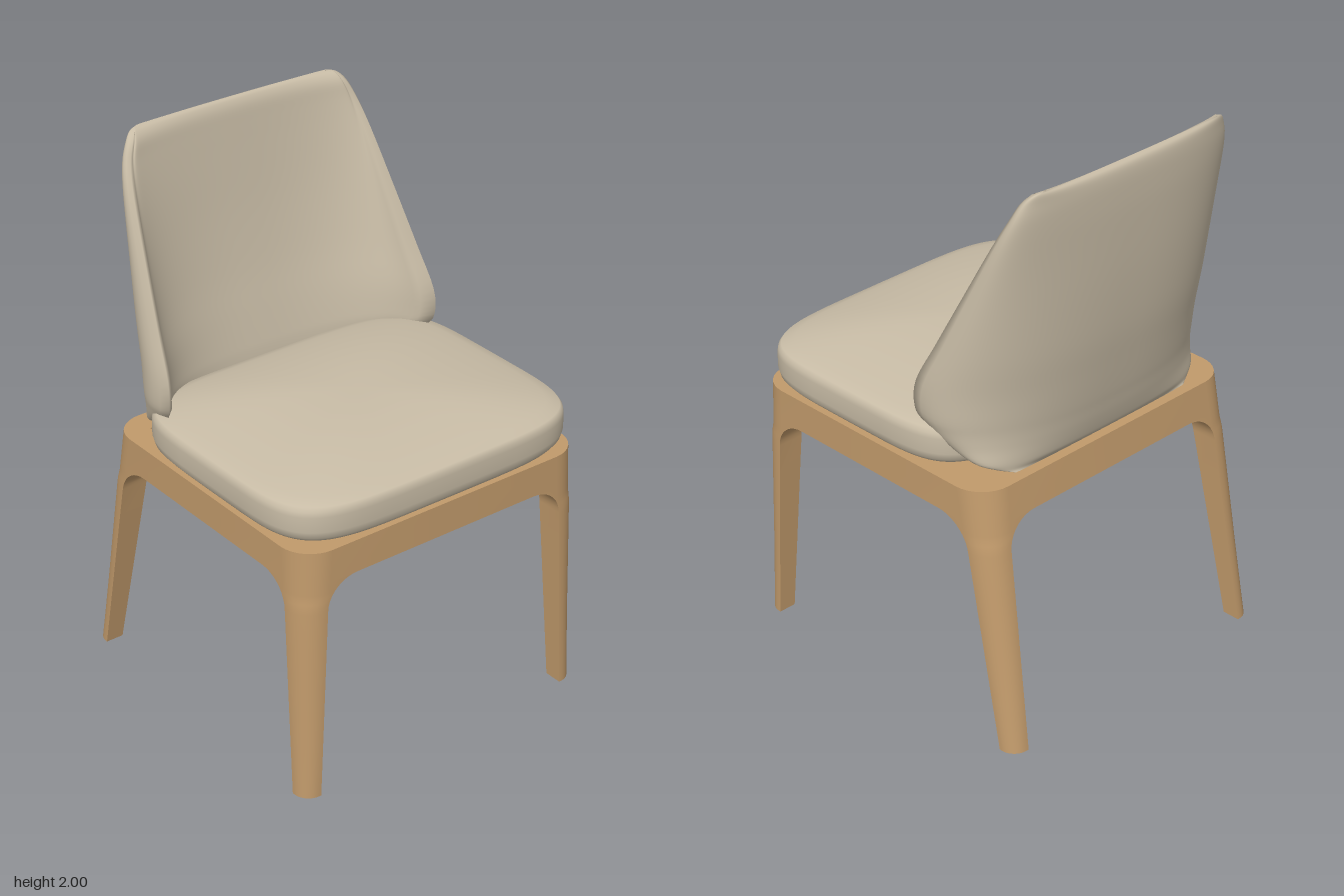
import * as THREE from 'three';
import { toCreasedNormals } from 'three/addons/utils/BufferGeometryUtils.js';

// Joins closed rings of [x, y, z] points, listed from bottom to top.
// capIndex, if given, closes both ends with a fan from that point.
function loft(rings, capIndex = -1) {
  const n = rings[0].length, index = [];
  for (let r = 0; r < rings.length - 1; r++) {
    for (let i = 0; i < n; i++) {
      const a = r * n + i, b = r * n + (i + 1) % n;
      index.push(a, b, b + n, a, b + n, a + n);
    }
  }
  if (capIndex >= 0) {
    const top = (rings.length - 1) * n;
    for (let k = 1; k < n - 1; k++) {
      const p = (capIndex + k) % n, q = (capIndex + k + 1) % n;
      index.push(capIndex, q, p, top + capIndex, top + p, top + q);
    }
  }
  const geo = new THREE.BufferGeometry();
  geo.setAttribute('position', new THREE.Float32BufferAttribute(rings.flat(2), 3));
  geo.setIndex(index);
  geo.computeVertexNormals();
  return geo;
}

const signedPow = (v, p) => Math.sign(v) * Math.pow(Math.abs(v), p);

// One corner of the frame: a tapered leg that curves into two half rails
function frameCorner(sx, sz) {
  const midZ = 0.065, rings = [];
  const addRing = (y, grow, rail) => {
    const k = y / 0.95;
    const X = 0.605 - 0.005 * k;
    const Z = sz > 0 ? 0.63 - 0.01 * k : -0.64 + 0.155 * k;
    const t = 0.068 + 0.032 * Math.min(1, y / 0.72);
    const a = rail ? X : t + grow + 0.0005;
    const b = rail ? Math.abs(Z - midZ) : a;
    const r = Math.min(0.06 + 0.06 * k, (t + grow) * 0.96);
    const uv = [[a, 0]];
    for (let i = 0; i <= 8; i++) {
      const q = (i / 8) * Math.PI / 2;
      uv.push([r - r * Math.sin(q), r - r * Math.cos(q)]);
    }
    uv.push([0, b], [t, b], [t, t], [a, t]);
    const ring = uv.map(([u, v]) => [sx * (X - u), y, Z - sz * v]);
    rings.push(sx * sz > 0 ? ring : ring.reverse());
  };
  for (let i = 0; i < 5; i++) addRing(0.72 * i / 5, 0, false);
  for (let i = 0; i <= 9; i++) {
    const q = (i / 9) * Math.PI / 2;
    addRing(0.72 + 0.11 * Math.sin(q), 0.12 * (1 - Math.cos(q)), false);
  }
  addRing(0.83, 0.12, true);
  addRing(0.95, 0.12, true);
  // the inner corner of the L section sees every other point
  return toCreasedNormals(loft(rings, sx * sz > 0 ? 12 : 1), 0.6);
}

// Domed cushion with a rounded-square outline
function seatGeometry() {
  const profile = [[0, 0.96], [0.5, 0.96], [0.85, 0.961], [0.93, 0.965], [0.97, 0.975],
    [0.99, 0.99], [1, 1.015], [1, 1.07], [0.995, 1.088], [0.98, 1.102]];
  for (let i = 1; i <= 14; i++) {
    const s = 0.98 * (1 - i / 14);
    profile.push([s, 1.104 + 0.066 * (1 - Math.pow(s / 0.98, 2.2))]);
  }
  return loft(profile.map(([s, y]) => Array.from({ length: 96 }, (_, i) => {
    const q = (i / 96) * Math.PI * 2;
    return [0.62 * s * signedPow(Math.sin(q), 0.4), y, 0.14 + 0.504 * s * signedPow(Math.cos(q), 0.4)];
  })));
}

// Wrap-around backrest: U-shaped padded sections stacked by height
function backrestGeometry() {
  // height, half width, rear z, wing tip z, padding thickness
  const rows = [
    [0.955, 0.42, -0.455, -0.445, 0], [0.975, 0.48, -0.475, -0.39, 0.06],
    [1.0, 0.53, -0.485, -0.33, 0.09], [1.05, 0.565, -0.498, -0.24, 0.11],
    [1.1, 0.587, -0.508, -0.18, 0.115], [1.15, 0.6, -0.518, -0.15, 0.115],
    [1.25, 0.598, -0.535, -0.155, 0.11], [1.4, 0.58, -0.558, -0.23, 0.1],
    [1.6, 0.553, -0.577, -0.33, 0.085], [1.8, 0.524, -0.588, -0.43, 0.07],
    [1.9, 0.5, -0.59, -0.48, 0.06], [1.96, 0.473, -0.588, -0.505, 0.05],
    [1.99, 0.445, -0.58, -0.53, 0.03], [2.0, 0.41, -0.562, -0.55, 0]];
  const spline = (f) => new THREE.CatmullRomCurve3(rows.map(f), false, 'catmullrom', 0.5);
  const shape = spline(([y, w, rear]) => new THREE.Vector3(w, y, rear));
  const pad = spline(([, , , tip, t]) => new THREE.Vector3(tip, t, 0));
  const steps = (rows.length - 1) * 4, N = 48, n = 2.5, rings = [];
  for (let j = 0; j <= steps; j++) {
    const { x: W, y, z: rear } = shape.getPoint(j / steps);
    const { x: tip, y: T } = pad.getPoint(j / steps);
    const D = Math.max(0.005, tip - rear), outer = [], inner = [];
    for (let i = 0; i <= N; i++) {
      const u = 1 - 2 * i / N, q = u * Math.PI / 2;
      const ex = signedPow(Math.sin(q), 2 / n), ez = Math.pow(Math.max(0, Math.cos(q)), 2 / n);
      const x = W * ex - Math.sign(u) * 0.025 * Math.pow(Math.abs(u), 12), z = tip - D * ez;
      const normal = new THREE.Vector2(-signedPow(ex, n - 1) / W, Math.pow(ez, n - 1) / D).normalize();
      const t = Math.max(0, T) * Math.sqrt(Math.max(0, 1 - Math.pow(Math.abs(u), 4)));
      outer.push([x, y, z]);
      if (i > 0 && i < N) inner.unshift([x + normal.x * t, y, z + normal.y * t]);
    }
    rings.push([...outer, ...inner]);
  }
  return loft(rings);
}

export function createModel() {
  const fabric = new THREE.MeshStandardMaterial({ color: 0xc8bca6 });
  fabric.name = 'beige fabric';
  const wood = new THREE.MeshStandardMaterial({ color: 0xc19a6b });
  wood.name = 'light wood';

  const model = new THREE.Group();
  model.name = 'diningChair';
  const add = (name, geometry, material, parent = model) => {
    const mesh = new THREE.Mesh(geometry, material);
    mesh.name = name;
    parent.add(mesh);
    return mesh;
  };

  // Wooden frame with legs
  const frame = new THREE.Group();
  frame.name = 'frame';
  model.add(frame);
  for (const sz of [1, -1]) {
    for (const sx of [1, -1]) {
      add((sz > 0 ? 'front' : 'back') + (sx > 0 ? 'Left' : 'Right') + 'LegAndRail', frameCorner(sx, sz), wood, frame);
    }
  }
  add('seatPanel', new THREE.BoxGeometry(1.03, 0.045, 0.94), wood, frame).position.set(0, 0.922, 0.065);

  // Upholstery
  add('seatCushion', seatGeometry(), fabric);
  add('backrest', backrestGeometry(), fabric);
  return model;
}
